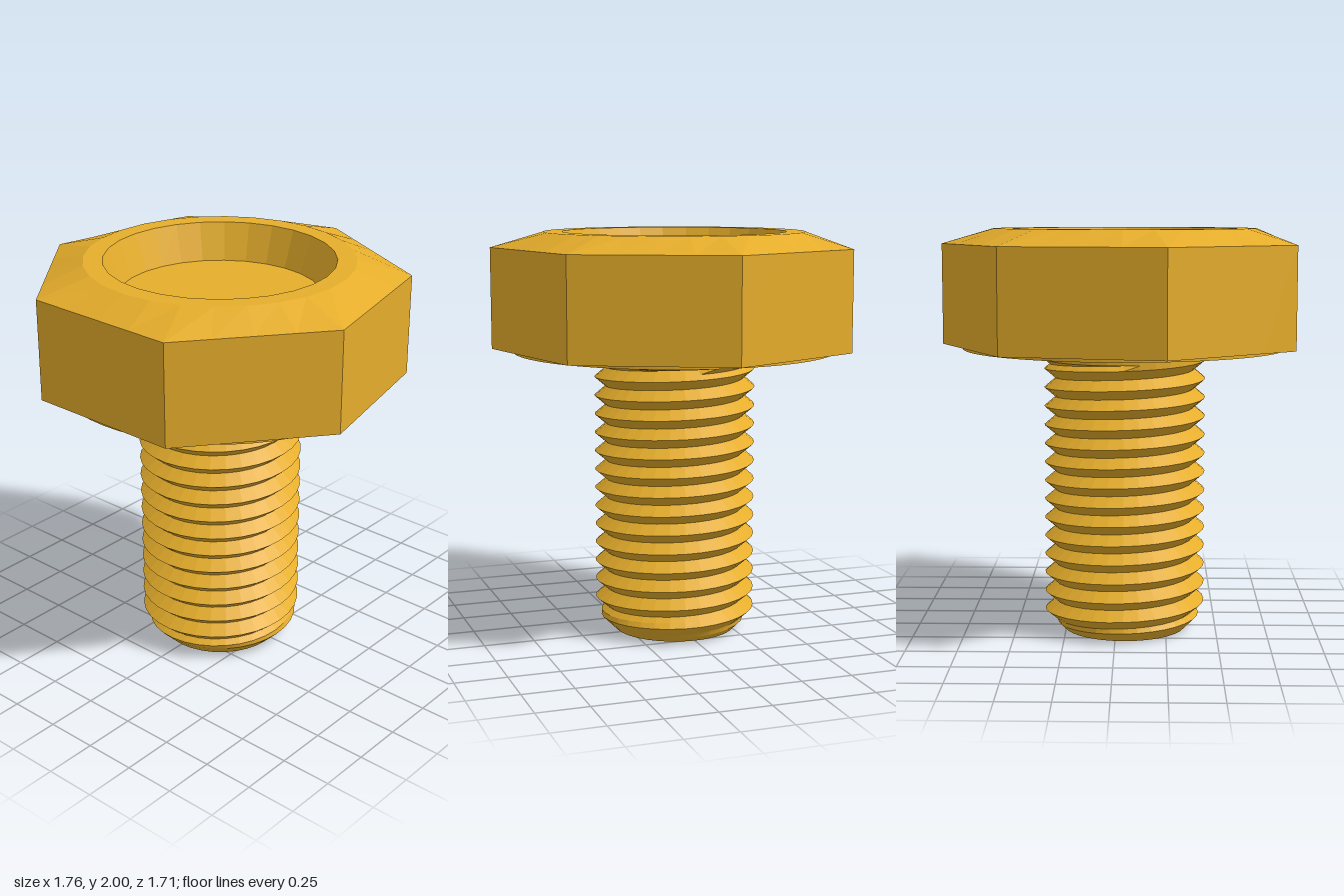
import * as THREE from 'three';

const SIDES = 7, HEAD_R = 0.902;
const PITCH = 0.0935, CREST = 0.4, ROOT = 0.345;

const material = new THREE.MeshStandardMaterial({ color: 0xe5ad2b, flatShading: true });

// Surface swept round the y axis: point(angle, row) returns [radius, height].
function sweep(name, cols, rows, point) {
  const pos = [], index = [];
  for (let j = 0; j < rows; j++) {
    for (let i = 0; i <= cols; i++) {
      const a = (i / cols) * Math.PI * 2;
      const [r, y] = point(a, j);
      pos.push(Math.sin(a) * r, y, Math.cos(a) * r);
    }
  }
  for (let j = 0; j < rows - 1; j++) {
    for (let i = 0; i < cols; i++) {
      const p = j * (cols + 1) + i, q = p + cols + 1;
      index.push(p, p + 1, q + 1, p, q + 1, q);
    }
  }
  const geometry = new THREE.BufferGeometry();
  geometry.setAttribute('position', new THREE.Float32BufferAttribute(pos, 3));
  geometry.setIndex(index);
  geometry.computeVertexNormals();
  const mesh = new THREE.Mesh(geometry, material);
  mesh.name = name;
  return mesh;
}

// Radius of the seven-sided outline, with a flat facing the front.
function polygonRadius(a) {
  const step = (Math.PI * 2) / SIDES;
  const local = a - Math.round(a / step) * step;
  return (HEAD_R * Math.cos(step / 2)) / Math.cos(local);
}

// Head: flat underside, straight sides, bevel to a round top, tapered recess.
function makeHead() {
  const rings = [
    [0, 1.43], ['polygon', 1.43], ['polygon', 1.925],
    [0.645, 2], [0.552, 2], [0.487, 1.82], [0, 1.82],
  ];
  return sweep('head', SIDES * 4, rings.length, (a, j) => {
    const [r, y] = rings[j];
    return [r === 'polygon' ? polygonRadius(a) : r, y];
  });
}

// Shank: right-hand V thread, plain collar above, chamfered tip below.
function makeShank() {
  const top = 1.36, perTurn = 4, start = -8;
  const threadRows = 76;
  return sweep('threadedShank', 32, threadRows + 2, (a, j) => {
    if (j === 0) return [0, 0];
    if (j === threadRows + 1) return [CREST, 1.42];
    const k = start + j;
    const y = 0.0486 + PITCH * (k / perTurn + a / (Math.PI * 2));
    if (y >= top) return [CREST, top];
    const phase = Math.abs(k / perTurn - Math.round(k / perTurn)) * 2;
    const height = Math.max(0, y);
    return [Math.min(CREST - (CREST - ROOT) * phase, 0.305 + height), height];
  });
}

export function createModel() {
  const model = new THREE.Group();
  model.name = 'bolt';

  const washer = new THREE.Mesh(new THREE.CylinderGeometry(0.8, 0.8, 0.02, 56), material);
  washer.name = 'washerFace';
  washer.position.y = 1.425;

  model.add(makeHead(), washer, makeShank());
  model.children.forEach((part) => { part.position.z = 0.042; });
  return model;
}
